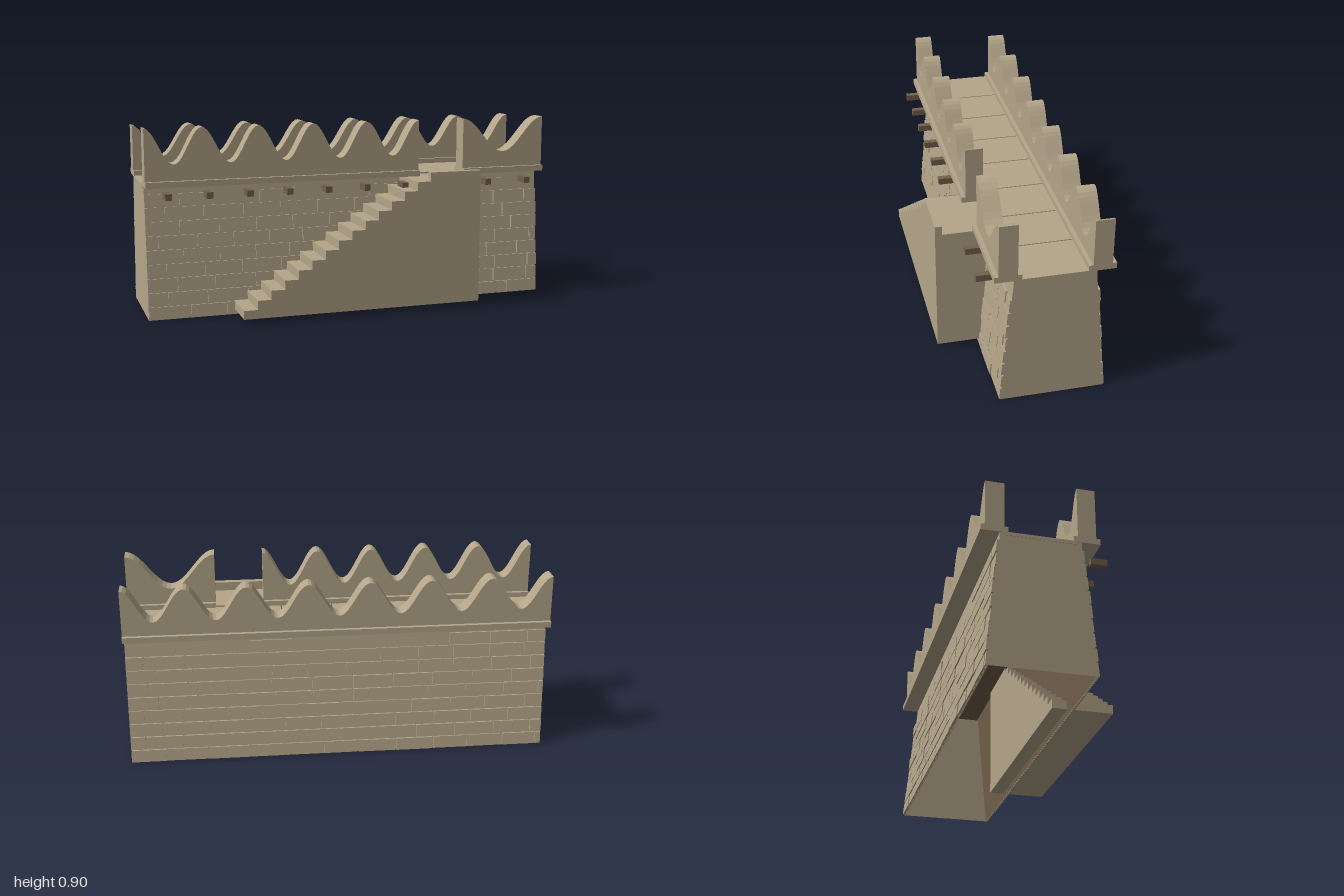
import * as THREE from 'three';
import { mergeGeometries } from 'three/addons/utils/BufferGeometryUtils.js';

export function createModel() {
  const stone = new THREE.MeshStandardMaterial({ color: 0xb5a68a });
  stone.name = 'sandstone';
  stone.side = THREE.DoubleSide;
  const wood = new THREE.MeshStandardMaterial({ color: 0x73614c });
  wood.name = 'darkBrown';
  wood.side = THREE.DoubleSide;

  const model = new THREE.Group();
  model.name = 'fortressWall';

  let seed = 7;
  const rand = () => (seed = (seed * 16807) % 2147483647) / 2147483647;

  const add = (name, geometry, material, parent = model) => {
    const mesh = new THREE.Mesh(geometry, material);
    mesh.name = name;
    parent.add(mesh);
    return mesh;
  };
  // box given by its limits on each axis
  const box = (x0, x1, y0, y1, z0, z1) =>
    new THREE.BoxGeometry(x1 - x0, y1 - y0, z1 - z0)
      .translate((x0 + x1) / 2, (y0 + y1) / 2, (z0 + z1) / 2);
  // outline in x and y, extruded from z0 to z1
  const slab = (points, z0, z1) =>
    new THREE.ExtrudeGeometry(new THREE.Shape(points.map(p => new THREE.Vector2(...p))),
      { depth: z1 - z0, bevelEnabled: false }).translate(0, 0, z0);

  const H = 0.63, MID = -0.085, BASE = 0.233, TOP = 0.18;
  const lean = Math.atan((BASE - TOP) / H);
  const slope = Math.hypot(BASE - TOP, H);

  // sloping end walls
  const endShape = new THREE.Shape([[-BASE, 0], [BASE, 0], [TOP, H], [-TOP, H]]
    .map(p => new THREE.Vector2(...p)));
  for (const s of [-1, 1]) {
    const end = add(s > 0 ? 'leftEndWall' : 'rightEndWall', new THREE.ShapeGeometry(endShape), stone);
    end.rotation.y = s * Math.PI / 2;
    end.position.set(s * 0.998, 0, MID);
  }

  // staggered bricks laid on a wall face, top course incomplete
  const brickCourses = () => {
    const bricks = [];
    const rows = 9, rowH = 0.0667, gap = 0.007;
    for (let r = 0; r < rows; r++) {
      const last = r === rows - 1;
      let x = -1 - (r % 2 ? 0.09 : 0) - rand() * 0.03;
      while (x < 1) {
        const next = x + 0.165 + rand() * 0.035;
        const x0 = Math.max(x + gap / 2, -0.998), x1 = Math.min(next - gap / 2, 0.998);
        const out = 0.006 + rand() * 0.005;
        if (x1 - x0 > 0.015 && !(last && rand() < 0.45)) {
          const y0 = r * rowH + 0.002;
          bricks.push(box(x0, x1, y0, y0 + rowH - (last ? 0.012 : gap), -0.003, out));
        }
        x = next;
      }
    }
    return mergeGeometries(bricks);
  };

  // long brick walls, leaning inward, with a dark inner lining
  for (const s of [1, -1]) {
    const wall = new THREE.Group();
    wall.name = s > 0 ? 'frontWall' : 'backWall';
    wall.rotation.order = 'YXZ';
    wall.rotation.set(-lean, s > 0 ? 0 : Math.PI, 0);
    wall.position.z = MID + s * BASE;
    model.add(wall);
    add('wallFace', new THREE.PlaneGeometry(1.996, slope).translate(0, slope / 2, 0), stone, wall);
    add('wallLining', new THREE.PlaneGeometry(1.99, slope).translate(0, slope / 2, -0.006), wood, wall);
    add('bricks', brickCourses(), stone, wall);
  }

  // walkway of eight slabs over a dark bed
  add('walkwayBed', box(-0.99, 0.99, 0.605, 0.627, MID - 0.17, MID + 0.17), wood);
  for (let i = 0; i < 8; i++) {
    const x = -1 + i * 0.25;
    add('walkwaySlab', box(x + (i ? 0.003 : 0), x + (i < 7 ? 0.247 : 0.25), 0.615, 0.632, -0.25, 0.075), stone);
  }

  // wavy parapet on a projecting ledge
  const parapet = (name, x0, x1, z0, z1, waves, low, high) => {
    const group = new THREE.Group();
    group.name = name;
    model.add(group);
    const points = [[x0, 0.64], [x1, 0.64]];
    const n = waves * 20;
    for (let i = n; i >= 0; i--) {
      const wave = 0.5 + 0.5 * Math.cos(i / n * waves * Math.PI * 2);
      points.push([x0 + (x1 - x0) * i / n, low + (high - low) * wave]);
    }
    add('battlement', slab(points, z0, z1), stone, group);
    add('ledge', box(x0, x1, 0.628, 0.656, z0 - 0.019, z1 + 0.019), stone, group);
  };
  parapet('frontRightParapet', -1, 0.335, 0.079, 0.162, 5, 0.732, 0.901);
  parapet('frontLeftParapet', 0.57, 1, 0.079, 0.162, 1, 0.732, 0.901);
  parapet('backParapet', -1, 1, -0.332, -0.247, 7, 0.72, 0.875);

  // stair block with landing, running into the front wall
  const steps = 14, run = 0.0654, rise = 0.0431, foot = 0.025;
  const profile = [[0.583, foot], [0.583, 0.627]];
  for (let i = steps - 1; i >= 0; i--) {
    const y = 0.627 - (steps - 1 - i) * rise;
    if (i < steps - 1) profile.push([-0.59 + (i + 1) * run, y]);
    profile.push([-0.59 + i * run, y]);
  }
  profile.push([-0.59, foot]);
  add('stairs', slab(profile, 0.07, 0.352), stone);
  add('landingCurb', box(0.325, 0.583, 0.62, 0.67, 0.32, 0.352), stone);

  // projecting beam ends
  for (const x of [-0.905, -0.715, -0.525, -0.335, -0.145, 0.047, 0.24, 0.677, 0.887]) {
    add('beamEnd', box(x - 0.015, x + 0.015, 0.578, 0.608, 0.162, 0.237), wood);
  }
  return model;
}
